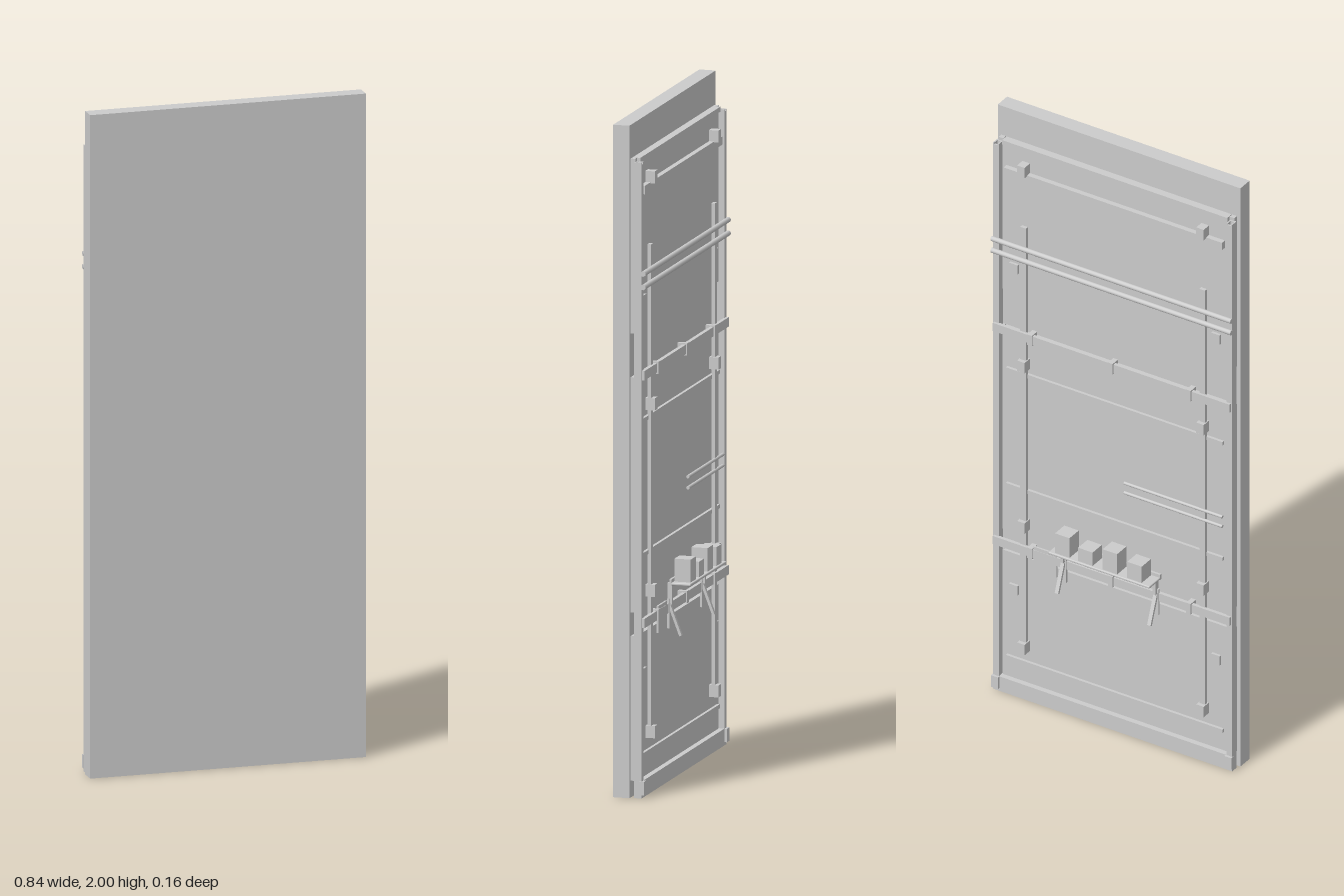
import * as THREE from 'three';
import { RoundedBoxGeometry } from 'three/addons/geometries/RoundedBoxGeometry.js';

const mat = new THREE.MeshStandardMaterial({ color: 0xcccccc });

export function createModel() {
  const model = new THREE.Group();

  const add = (name, geo) => {
    const mesh = new THREE.Mesh(geo, mat);
    mesh.name = name;
    model.add(mesh);
    return mesh;
  };
  // Box given by its low and high limits on each axis
  const box = (name, x0, x1, y0, y1, z0, z1) => {
    const mesh = add(name, new THREE.BoxGeometry(x1 - x0, y1 - y0, z1 - z0));
    mesh.position.set((x0 + x1) / 2, (y0 + y1) / 2, (z0 + z1) / 2);
    return mesh;
  };
  // Round horizontal bar
  const bar = (name, x0, x1, y, z, r) => {
    const mesh = add(name, new THREE.CylinderGeometry(r, r, x1 - x0, 12));
    mesh.rotation.z = Math.PI / 2;
    mesh.position.set((x0 + x1) / 2, y, z);
  };

  // Front slab
  box('frontSlab', -0.42, 0.42, 0, 2, 0.03, 0.08);

  // Backing panels with open gaps between them
  for (const [y0, y1] of [[0.05, 0.48], [0.55, 1.25], [1.38, 1.9]]) {
    box('backPanel', -0.39, 0.39, y0, y1, 0.012, 0.03);
    for (const s of [-1, 1]) {
      const x = s * 0.4;
      box('railSpacer', x - 0.008, x + 0.008, y0, y1, 0.016, 0.03);
    }
  }

  // Side channels: web and two flanges, with a bottom sill and a top lip
  for (const s of [-1, 1]) {
    const x = s * 0.404;
    box('sideChannelWeb', x - 0.01, x + 0.01, 0, 1.89, 0.012, 0.018);
    for (const f of [-1, 1]) {
      const fx = x + f * 0.008;
      box('sideChannelFlange', fx - 0.002, fx + 0.002, 0, 1.89, -0.005, 0.018);
    }
    box('sideChannelCap', x - 0.01, x + 0.01, 0, 1.885, -0.005, 0);
    box('channelFoot', x - 0.012, x + 0.012, 0.01, 0.05, -0.013, 0);
  }
  box('bottomSill', -0.395, 0.395, 0, 0.05, -0.005, 0.02);
  box('topLip', -0.39, 0.39, 1.885, 1.9, 0.006, 0.03);

  // Thin stiffeners on the panels
  for (const y of [0.12, 0.715, 1.115]) {
    box('panelStiffener', -0.375, 0.375, y - 0.006, y + 0.006, 0.003, 0.013);
  }
  box('topCrossRail', -0.378, 0.378, 1.79, 1.815, -0.004, 0.013);

  // Uprights with mounting blocks
  for (const s of [-1, 1]) {
    const x = s * 0.31;
    box('upright', x - 0.01, x + 0.01, 0.17, 1.63, -0.005, 0.006);
    for (const y of [0.18, 0.6, 1.155, 1.83]) {
      box('mountingBlock', x - 0.013, x + 0.013, y - 0.018, y + 0.018, -0.017, 0.013);
    }
    for (const y of [0.36, 1.47]) {
      const px = s * 0.35;
      box('cornerPlate', px - 0.015, px + 0.015, y - 0.016, y + 0.016, 0.004, 0.013);
    }
  }

  // Paired long tubes and paired short rods
  for (const y of [1.52, 1.56]) bar('crossTube', -0.415, 0.415, y, -0.01, 0.008);
  for (const y of [0.835, 0.868]) bar('shortRod', -0.38, -0.04, y, -0.004, 0.005);

  // Cross rails with clips
  for (const y of [0.52, 1.257]) {
    box('crossRail', -0.41, 0.41, y - 0.014, y + 0.014, -0.013, -0.002);
    for (const x of [-0.27, 0, 0.28]) {
      box('railClip', x - 0.008, x + 0.008, y - 0.018, y + 0.018, -0.017, 0.012);
    }
  }
  box('sidePlate', 0.19, 0.27, 0.465, 0.545, -0.012, -0.006);

  // Shelf and the boxes standing on it
  const shelf = add('shelf', new RoundedBoxGeometry(0.35, 0.008, 0.06, 2, 0.003));
  shelf.position.set(0, 0.592, -0.05);
  box('shelfBack', -0.175, 0.175, 0.588, 0.606, -0.022, -0.015);
  for (const [x, top] of [[-0.12, 0.652], [-0.035, 0.666], [0.05, 0.642], [0.13, 0.664]]) {
    box('shelfBox', x - 0.025, x + 0.025, 0.596, top, -0.074, -0.024);
  }

  // Slanted hooks below the shelf
  for (const x of [-0.155, 0.165]) {
    const hook = box('hook', x - 0.006, x + 0.006, 0.435, 0.545, -0.032, -0.024);
    hook.rotation.x = Math.atan2(0.038, 0.1);
    box('hookBase', x - 0.01, x + 0.01, 0.46, 0.548, -0.015, -0.008);
    box('shelfBracket', x - 0.005, x + 0.005, 0.53, 0.595, -0.022, -0.008);
  }

  return model;
}
